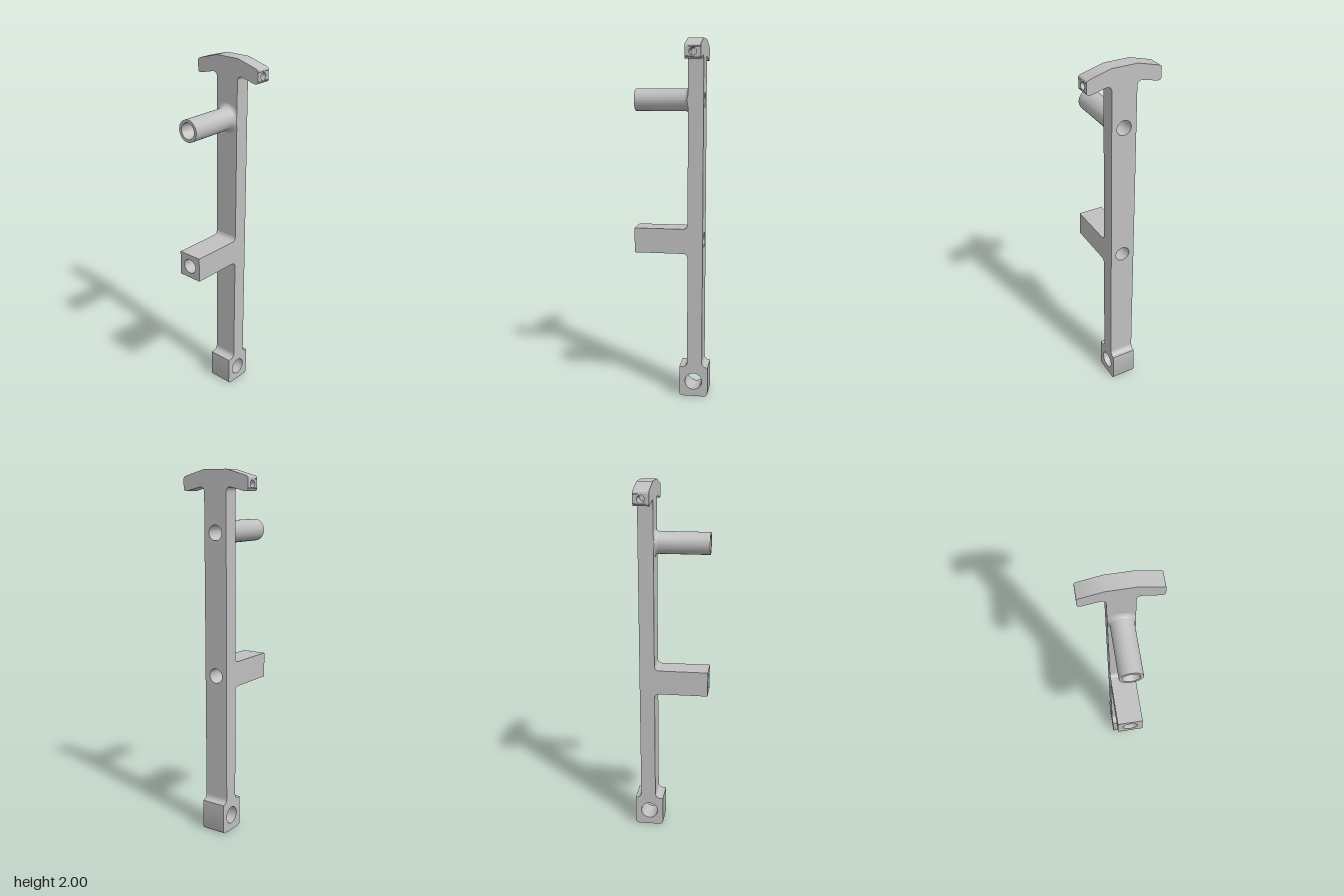
import * as THREE from 'three';
import { toCreasedNormals } from 'three/addons/utils/BufferGeometryUtils.js';

const HALF = 0.07, BACK = -0.172, FACE = -0.088, TIP = 0.21;
const PIN_Y = 1.675, ARM_Y = 0.902, BORE = 0.041;
const END_X = 0.205, END_LOW = 1.903, END_HIGH = 1.95, END_HOLE = 0.02, END_HOLE_Y = 1.925;

function addHole(shape, x, y, r) {
  shape.holes.push(new THREE.Path().absarc(x, y, r, 0, Math.PI * 2, true));
}

// Extrude a front (x, y) outline between two z values
function extrudeZ(shape, z0, z1) {
  return new THREE.ExtrudeGeometry(shape, { depth: z1 - z0, bevelEnabled: false, curveSegments: 20 }).translate(0, 0, z0);
}

// Extrude a side (z, y) outline across the bar's width
function extrudeX(shape) {
  return extrudeZ(shape, -HALF, HALF).rotateY(-Math.PI / 2);
}

// Drop the flat end walls of the crossbar so drilled plates can replace them
function openEnds(geo) {
  const src = geo.index ? geo.toNonIndexed() : geo;
  const p = src.attributes.position, keep = [];
  for (let i = 0; i < p.count; i += 3) {
    if ([0, 1, 2].every(k => Math.abs(p.getX(i + k)) > END_X - 1e-4)) continue;
    for (let k = 0; k < 3; k++) keep.push(p.getX(i + k), p.getY(i + k), p.getZ(i + k));
  }
  const out = new THREE.BufferGeometry();
  out.setAttribute('position', new THREE.Float32BufferAttribute(keep, 3));
  return out;
}

export function createModel() {
  const group = new THREE.Group();
  const grey = new THREE.MeshStandardMaterial({ color: 0xc0c0c0, side: THREE.DoubleSide });
  const add = (name, geo) => {
    const mesh = new THREE.Mesh(toCreasedNormals(geo, 0.6), grey);
    mesh.name = name;
    group.add(mesh);
    return mesh;
  };

  // Upright bar with its crossbar head
  const bar = new THREE.Shape();
  bar.moveTo(-HALF, 0.19);
  bar.lineTo(HALF, 0.19);
  bar.lineTo(HALF, 1.88);
  bar.quadraticCurveTo(HALF, 1.915, 0.105, 1.908);
  bar.lineTo(0.178, 1.89);
  bar.quadraticCurveTo(END_X, 1.885, END_X, END_LOW);
  bar.lineTo(END_X, END_HIGH);
  bar.quadraticCurveTo(END_X, 1.963, 0.192, 1.967);
  bar.lineTo(0.072, 2);
  bar.lineTo(-0.072, 2);
  bar.lineTo(-0.192, 1.967);
  bar.quadraticCurveTo(-END_X, 1.963, -END_X, END_HIGH);
  bar.lineTo(-END_X, END_LOW);
  bar.quadraticCurveTo(-END_X, 1.885, -0.178, 1.89);
  bar.lineTo(-0.105, 1.908);
  bar.quadraticCurveTo(-HALF, 1.915, -HALF, 1.88);
  bar.closePath();
  addHole(bar, 0, PIN_Y, BORE);
  addHole(bar, 0, ARM_Y, BORE);
  add('barAndHead', openEnds(extrudeZ(bar, BACK, FACE)));

  // Drilled ends of the crossbar
  const midZ = (BACK + FACE) / 2, depth = 0.08;
  for (const s of [1, -1]) {
    const end = new THREE.Shape([[BACK, END_LOW], [FACE, END_LOW], [FACE, END_HIGH], [BACK, END_HIGH]]
      .map(([z, y]) => new THREE.Vector2(-s * (z - midZ), y)));
    addHole(end, 0, END_HOLE_Y, END_HOLE);
    add(s > 0 ? 'leftHeadEnd' : 'rightHeadEnd',
      new THREE.ShapeGeometry(end, 16).rotateY(s * Math.PI / 2).translate(s * END_X, 0, midZ));
    const wall = new THREE.CylinderGeometry(END_HOLE, END_HOLE, depth, 24, 1, true);
    add('headHoleWall', wall.rotateZ(Math.PI / 2).translate(s * (END_X - depth / 2), END_HOLE_Y, midZ));
    const floor = new THREE.CircleGeometry(END_HOLE, 24);
    add('headHoleFloor', floor.rotateY(s * Math.PI / 2).translate(s * (END_X - depth), END_HOLE_Y, midZ));
  }

  // Foot block with a cross hole and a filleted neck
  const foot = new THREE.Shape();
  const f0 = -0.205, f1 = -0.043, r = 0.02, top = 0.172, neck = 0.2;
  foot.moveTo(f0 + r, 0);
  foot.lineTo(f1 - r, 0);
  foot.absarc(f1 - r, r, r, -Math.PI / 2, 0, false);
  foot.lineTo(f1, top);
  foot.lineTo(FACE + 0.028, top);
  foot.absarc(FACE + 0.028, neck, 0.028, -Math.PI / 2, -Math.PI, true);
  foot.lineTo(BACK, neck);
  foot.absarc(BACK - 0.028, neck, 0.028, 0, -Math.PI / 2, true);
  foot.lineTo(f0, top);
  foot.lineTo(f0, r);
  foot.absarc(f0 + r, r, r, Math.PI, Math.PI * 1.5, false);
  addHole(foot, -0.124, 0.088, 0.048);
  add('foot', extrudeX(foot));

  // Square arm, bored along its length
  const a0 = 0.832, a1 = 0.971;
  const arm = new THREE.Shape([[-HALF, a0], [HALF, a0], [HALF, a1], [-HALF, a1]]
    .map(([x, y]) => new THREE.Vector2(x, y)));
  addHole(arm, 0, ARM_Y, BORE);
  add('squareArm', extrudeZ(arm, FACE, TIP));

  // Fillets above and below the arm
  const fr = 0.026;
  for (const [y, s] of [[a1, 1], [a0, -1]]) {
    const fillet = new THREE.Shape();
    fillet.moveTo(FACE, y);
    fillet.lineTo(FACE + fr, y);
    fillet.absarc(FACE + fr, y + s * fr, fr, -s * Math.PI / 2, -s * Math.PI, s > 0);
    fillet.closePath();
    add(s > 0 ? 'armFilletTop' : 'armFilletBottom', extrudeX(fillet));
  }

  // Round hollow pin with a flared root trimmed to the bar's width
  const R = 0.06, flare = 0.024, profile = [];
  for (let i = 0; i <= 8; i++) {
    const a = (i / 8) * Math.PI / 2;
    profile.push(new THREE.Vector2(R + flare * (1 - Math.sin(a)), FACE + flare * (1 - Math.cos(a))));
  }
  profile.push(new THREE.Vector2(R, TIP), new THREE.Vector2(BORE + 0.003, TIP),
    new THREE.Vector2(BORE, TIP - 0.006), new THREE.Vector2(BORE, FACE));
  const pin = new THREE.LatheGeometry(profile, 64).rotateX(Math.PI / 2);
  const p = pin.attributes.position;
  for (let i = 0; i < p.count; i++) p.setX(i, THREE.MathUtils.clamp(p.getX(i), -HALF, HALF));
  add('roundPin', pin.translate(0, PIN_Y, 0));

  return group;
}
